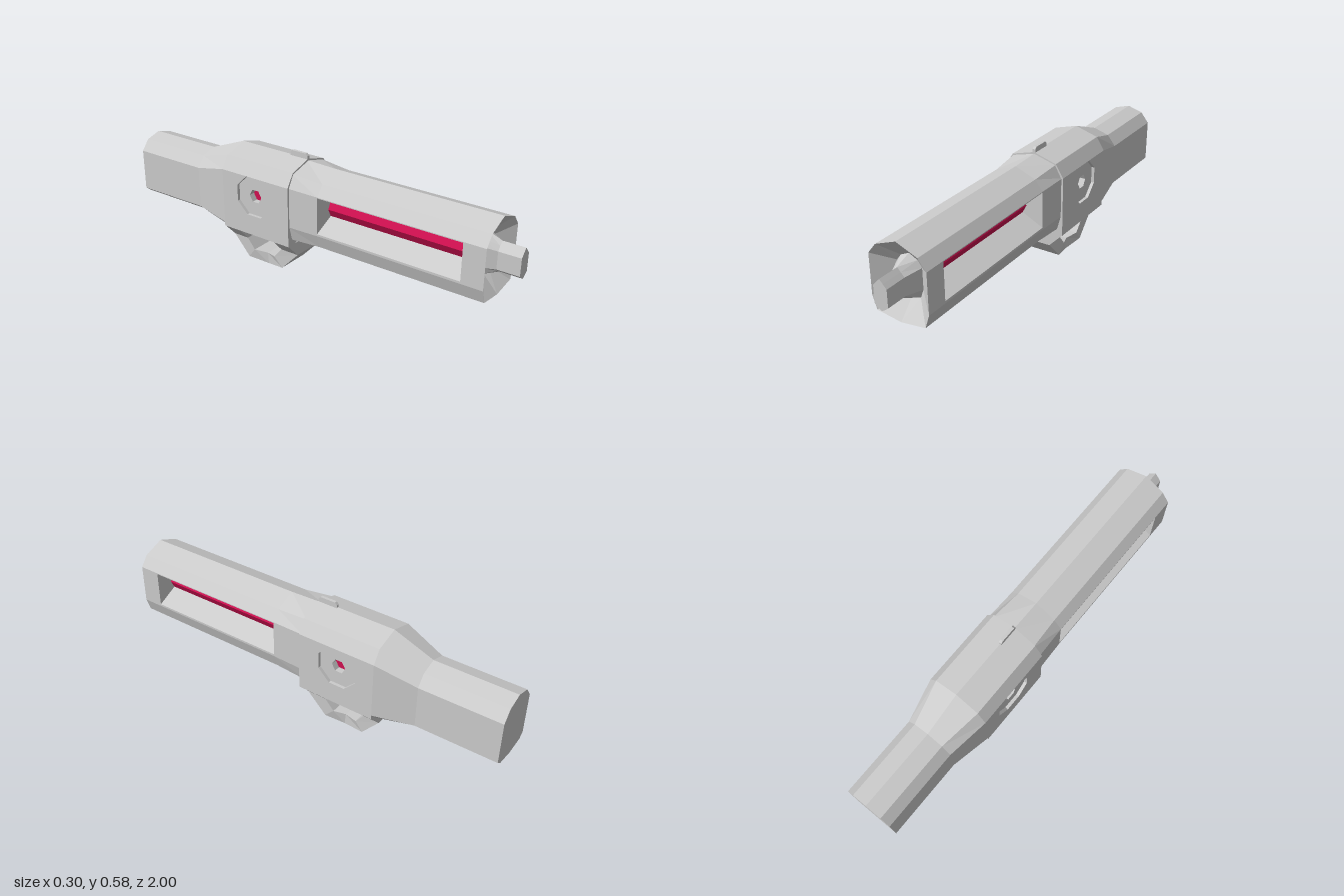
import * as THREE from 'three';

const grey = new THREE.MeshStandardMaterial({ color: 0xcccccc, flatShading: true });
const red = new THREE.MeshStandardMaterial({ color: 0xd01050, flatShading: true });

// Half profile (top to bottom, x >= 0) mirrored into a closed ring at depth z
function ring(half, z) {
  const left = half.map(([x, y]) => [-x, y]);
  const right = half.slice(1, -1).reverse();
  return [...left, ...right].map(([x, y]) => [x, y, z]);
}

// Skin over successive rings, closed at both ends
function loft(rings) {
  const pos = [];
  const tri = (a, b, c) => pos.push(...a, ...b, ...c);
  const n = rings[0].length;
  for (let r = 0; r < rings.length - 1; r++) {
    const a = rings[r], b = rings[r + 1];
    for (let i = 0; i < n; i++) {
      const j = (i + 1) % n;
      tri(a[i], b[i], a[j]);
      tri(a[j], b[i], b[j]);
    }
  }
  const cap = (pts, flip) => {
    const mid = [0, 1, 2].map(k => pts.reduce((s, p) => s + p[k], 0) / n);
    for (let i = 0; i < n; i++) {
      const p = pts[i], q = pts[(i + 1) % n];
      flip ? tri(mid, q, p) : tri(mid, p, q);
    }
  };
  cap(rings[0], false);
  cap(rings[rings.length - 1], true);
  const geo = new THREE.BufferGeometry();
  geo.setAttribute('position', new THREE.Float32BufferAttribute(pos, 3));
  geo.computeVertexNormals();
  return geo;
}

const toShape = pts => new THREE.Shape(pts.map(([x, y]) => new THREE.Vector2(x, y)));
const extrude = (shape, depth) => new THREE.ExtrudeGeometry(shape, { depth, bevelEnabled: false });

// Profile drawn as (-z, y), extruded along x from x0
const sideExtrude = (shape, x0, depth) => extrude(shape, depth).rotateY(Math.PI / 2).translate(x0, 0, 0);

function polygon(cx, cy, r, sides, phase) {
  const pts = [];
  for (let i = 0; i < sides; i++) {
    const a = phase + i / sides * Math.PI * 2;
    pts.push([cx + r * Math.cos(a), cy + r * Math.sin(a)]);
  }
  return pts;
}

export function createModel() {
  const model = new THREE.Group();
  const add = (name, geo, mat = grey) => {
    const mesh = new THREE.Mesh(geo, mat);
    mesh.name = name;
    model.add(mesh);
  };

  // Barrel profiles
  const barrel = [[0, 0.547], [0.1, 0.508], [0.138, 0.46], [0.138, 0.275], [0.118, 0.213], [0, 0.197]];
  const barrelRoot = [[0, 0.552], [0.11, 0.522], [0.143, 0.463], [0.143, 0.275], [0.125, 0.208], [0, 0.192]];
  const collar = [[0, 0.467], [0.04, 0.448], [0.06, 0.42], [0.06, 0.325], [0.045, 0.285], [0, 0.274]];
  const tip = [[0, 0.44], [0.016, 0.423], [0.032, 0.405], [0.032, 0.325], [0.016, 0.312], [0, 0.302]];

  // Muzzle: tip, collar, sunken funnel and outer wall in one skin
  add('muzzle', loft([ring(tip, 1), ring(tip, 0.9), ring(collar, 0.83), ring(barrel, 0.9), ring(barrel, 0.8)]));

  // Barrel middle with a sloping window cut into each side
  const windowed = [...barrel.slice(0, 3), [0.138, 0.456], [0.035, 0.41], [0.035, 0.335], [0.138, 0.285], ...barrel.slice(3)];
  const middle = toShape(ring(windowed, 0));
  add('barrelMiddle', extrude(middle, 0.7).translate(0, 0, 0.1));
  add('barrelRoot', loft([ring(barrel, 0.1), ring(barrelRoot, -0.06)]));

  // Coloured rod with a ridge facing each window
  const rod = [[0, 0.41], [0.036, 0.41], [0.055, 0.372], [0.036, 0.335], [0, 0.335]];
  add('rod', loft([ring(rod, 0.8), ring(rod, 0.1)]), red);

  // Receiver core, with room at the sides for the plates
  const core = [[0, 0.56], [0.113, 0.527], [0.152, 0.467], [0.1, 0.467], [0.1, 0.185], [0, 0.185]];
  add('receiverCore', extrude(toShape(ring(core, 0)), 0.38).translate(0, 0, -0.43));

  // Side plates: octagonal recess outside, hexagonal hole inside
  const plate = hole => {
    const shape = toShape([[0.05, 0.18], [0.43, 0.18], [0.43, 0.467], [0.05, 0.467]]);
    shape.holes.push(toShape(hole));
    return shape;
  };
  const outer = plate(polygon(0.248, 0.372, 0.102, 8, Math.PI / 8));
  const inner = plate(polygon(0.248, 0.372, 0.034, 6, 0));
  for (const side of [1, -1]) {
    const start = (x, d) => side > 0 ? x : -x - d;
    add('receiverSidePlate', sideExtrude(outer, start(0.137, 0.015), 0.015));
    add('receiverInnerPlate', sideExtrude(inner, start(0.1, 0.037), 0.037));
  }
  add('pivotPin', sideExtrude(toShape(polygon(0.248, 0.372, 0.0335, 6, 0)), -0.108, 0.216), red);

  // Tapered rear and stock
  const rear = [[0, 0.56], [0.113, 0.527], [0.152, 0.467], [0.152, 0.2], [0.14, 0.185], [0, 0.185]];
  const stock = [[0, 0.487], [0.075, 0.465], [0.115, 0.415], [0.115, 0.215], [0.09, 0.195], [0, 0.185]];
  add('stock', loft([ring(rear, -0.43), ring(stock, -0.62), ring(stock, -1)]));

  // Guard loop: [outer z, outer y, inner z, inner y, half width]
  const stations = [
    [-0.05, 0.182, -0.145, 0.187, 0.152],
    [-0.05, 0.112, -0.145, 0.112, 0.085],
    [-0.145, 0.014, -0.19, 0.06, 0.083],
    [-0.24, 0, -0.245, 0.055, 0.064],
    [-0.345, 0.014, -0.31, 0.06, 0.083],
    [-0.43, 0.112, -0.35, 0.112, 0.085],
    [-0.43, 0.182, -0.35, 0.187, 0.152],
  ];
  add('guard', loft(stations.map(([oz, oy, iz, iy, w]) =>
    [[-w, oy, oz], [w, oy, oz], [w, iy, iz], [-w, iy, iz]])));

  // Sight on top
  const sight = toShape([[0.05, 0.55], [0.145, 0.55], [0.145, 0.572], [0.135, 0.583], [0.06, 0.583], [0.05, 0.573]]);
  add('sight', sideExtrude(sight, -0.007, 0.014));

  return model;
}
